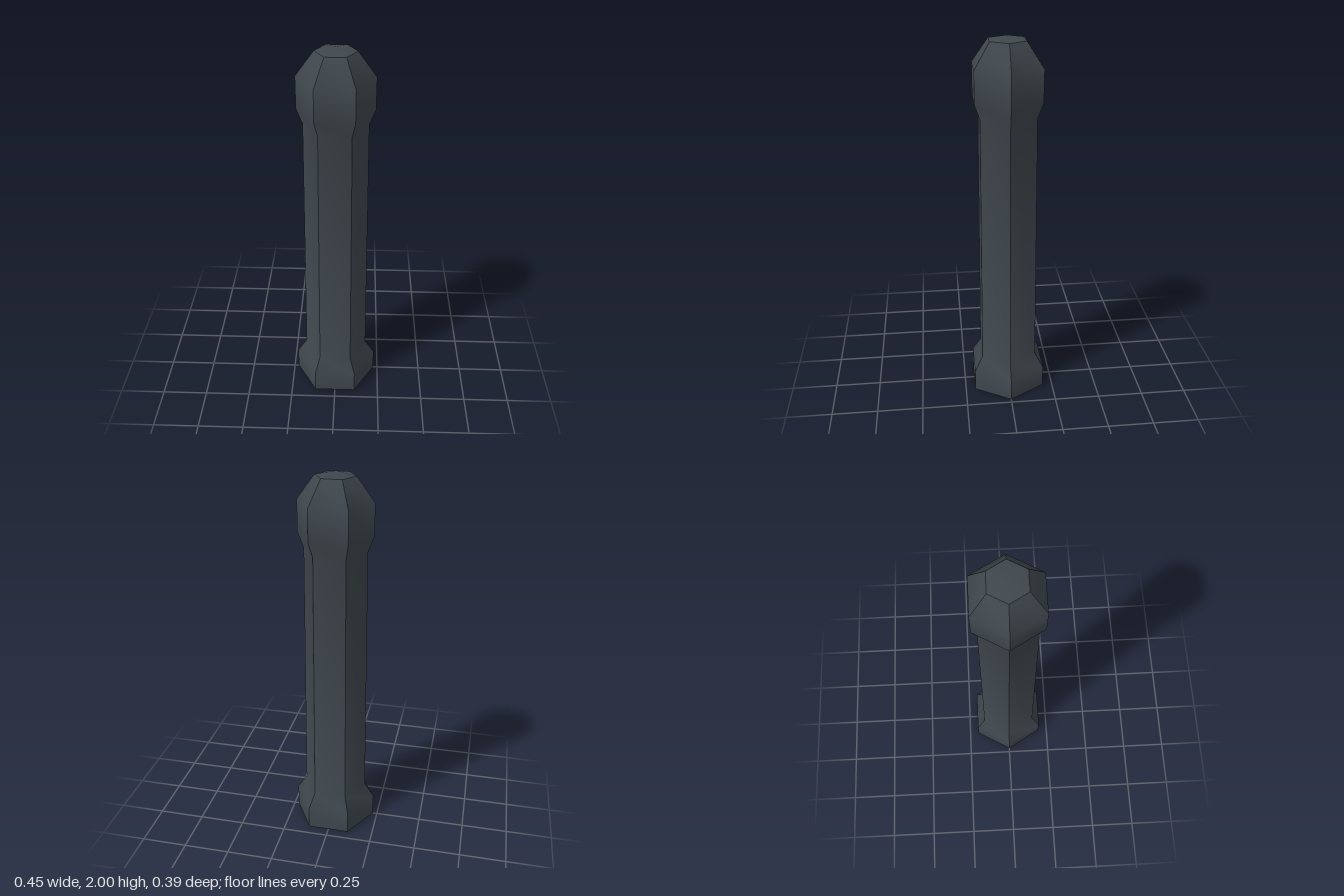
import * as THREE from 'three';
import { toCreasedNormals } from 'three/addons/utils/BufferGeometryUtils.js';

export function createModel() {
  const group = new THREE.Group();
  group.name = 'post';
  const darkSlate = new THREE.MeshStandardMaterial({ color: 0x3f474d, side: THREE.DoubleSide });
  darkSlate.name = 'darkSlate';

  // Six-sided shell from a [radius, height] profile, corners on the x axis,
  // smooth along the profile and sharp between the sides
  const profile = [
    [0.226, 0], [0.226, 0.125],     // foot, open underneath
    [0.174, 0.208], [0.164, 1.61],  // tapered shaft
    [0.195, 1.69], [0.195, 1.855],  // head
    [0.103, 1.98], [0, 2],          // shallow cap
  ].map(([r, y]) => new THREE.Vector2(r, y));
  const shell = new THREE.LatheGeometry(profile, 6, Math.PI / 2);
  const post = new THREE.Mesh(toCreasedNormals(shell, 0.75), darkSlate);
  post.name = 'hexagonalPost';
  group.add(post);
  return group;
}
